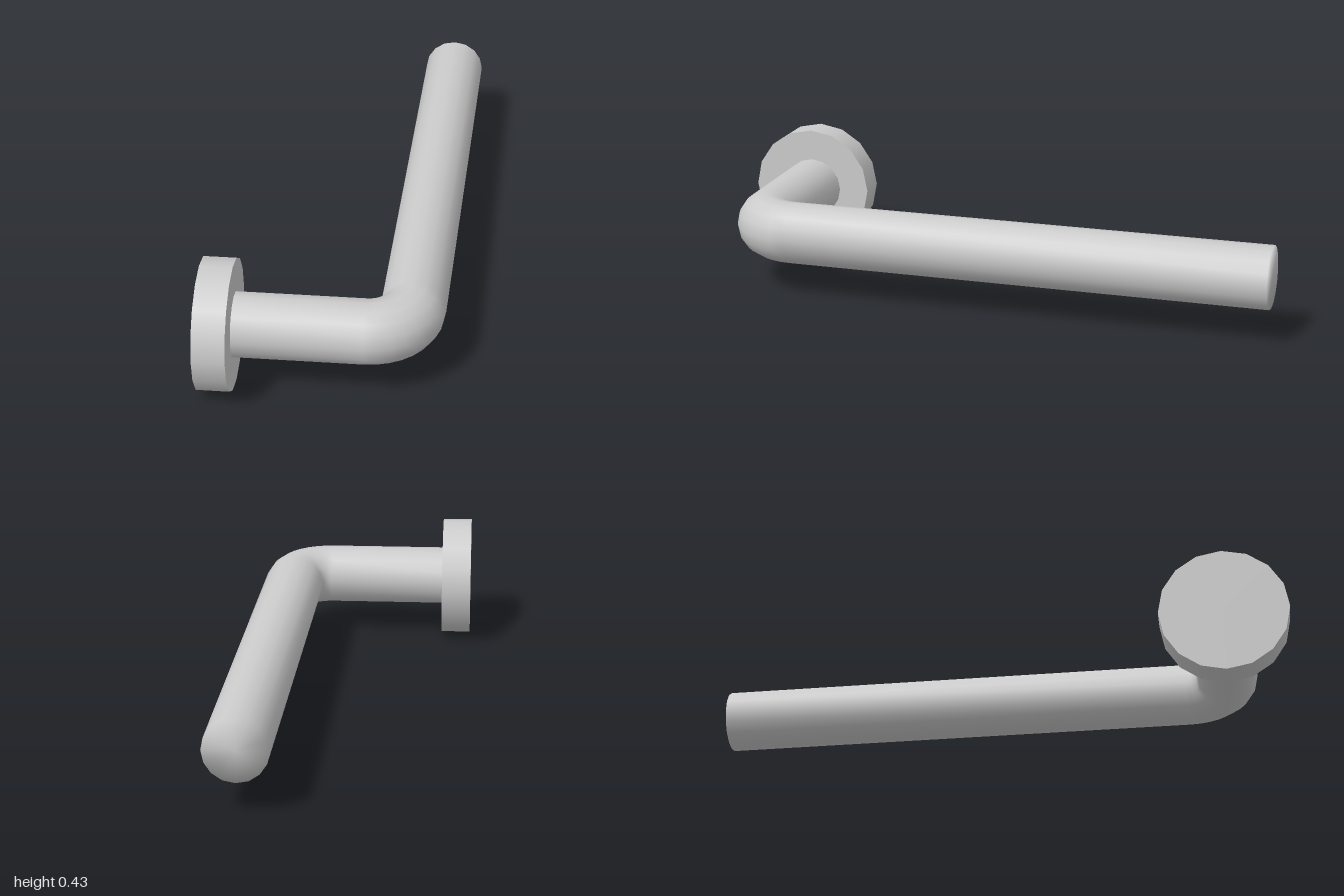
import * as THREE from 'three';

const SIDES = 16;
const RADIUS = 0.105;
const HEIGHT = 0.213;

// Sweeps a round section along a flat path; the far end is closed and shares its rim normals.
function sweepBar(path, material) {
  const positions = [];
  const index = [];
  path.forEach((p, i) => {
    const before = path[Math.max(i - 1, 0)];
    const after = path[Math.min(i + 1, path.length - 1)];
    const tangent = after.clone().sub(before).normalize();
    const out = new THREE.Vector2(-tangent.y, tangent.x);
    for (let j = 0; j < SIDES; j++) {
      const a = (j / SIDES) * Math.PI * 2;
      const s = Math.cos(a) * RADIUS;
      positions.push(p.x + out.x * s, HEIGHT + Math.sin(a) * RADIUS, p.y + out.y * s);
    }
  });
  for (let i = 0; i < path.length - 1; i++) {
    for (let j = 0; j < SIDES; j++) {
      const a = i * SIDES + j;
      const b = i * SIDES + ((j + 1) % SIDES);
      index.push(a, a + SIDES, b, b, a + SIDES, b + SIDES);
    }
  }
  const last = (path.length - 1) * SIDES;
  const end = path[path.length - 1];
  positions.push(end.x, HEIGHT, end.y);
  for (let j = 0; j < SIDES; j++) {
    index.push(last + SIDES, last + ((j + 1) % SIDES), last + j);
  }
  const geometry = new THREE.BufferGeometry();
  geometry.setAttribute('position', new THREE.Float32BufferAttribute(positions, 3));
  geometry.setIndex(index);
  geometry.computeVertexNormals();
  return new THREE.Mesh(geometry, material);
}

export function createModel() {
  const group = new THREE.Group();
  group.name = 'leverHandle';
  const material = new THREE.MeshStandardMaterial({ color: 0xcccccc, side: THREE.DoubleSide });

  // Round mounting plate
  const plate = new THREE.Mesh(new THREE.CylinderGeometry(0.213, 0.213, 0.105, SIDES), material);
  plate.name = 'mountingPlate';
  plate.rotation.z = Math.PI / 2;
  plate.position.set(-0.3475, HEIGHT, 0.787);
  group.add(plate);

  // Bar: short neck, rounded elbow, long grip (points are x, z)
  const path = [new THREE.Vector2(-0.3, 0.785)];
  const bend = 0.14;
  const turn = Math.PI / 2 - 0.023;
  for (let i = 0; i <= 8; i++) {
    const a = (i / 8) * turn;
    path.push(new THREE.Vector2(0.117 + Math.sin(a) * bend, 0.785 - bend + Math.cos(a) * bend));
  }
  path.push(new THREE.Vector2(0.295, -0.998));
  const bar = sweepBar(path, material);
  bar.name = 'handleBar';
  group.add(bar);

  return group;
}
